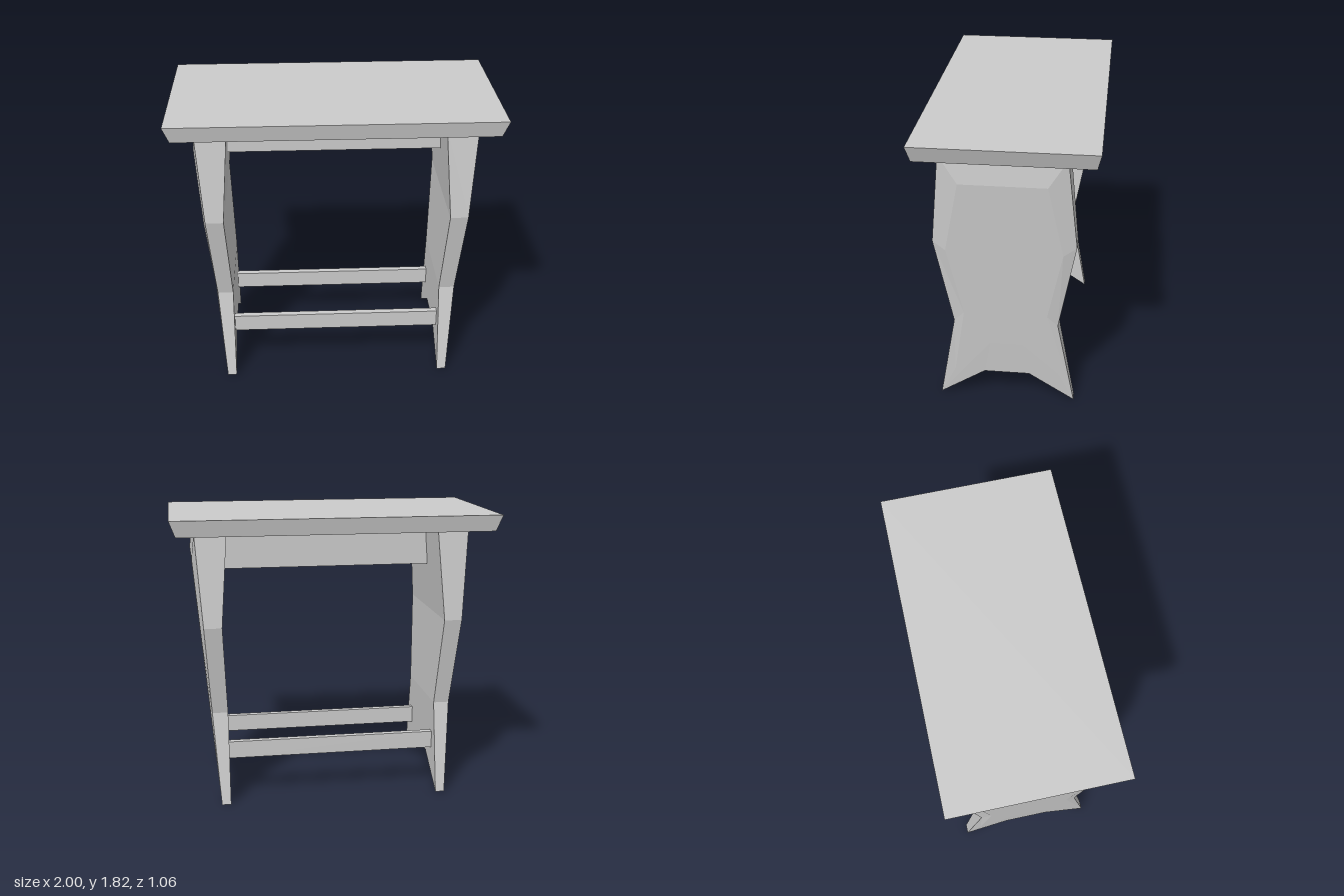
import * as THREE from 'three';

const material = new THREE.MeshStandardMaterial({ color: 0xcccccc, flatShading: true });

function addBox(group, name, size, position) {
  const mesh = new THREE.Mesh(new THREE.BoxGeometry(...size), material);
  mesh.name = name;
  mesh.position.set(...position);
  group.add(mesh);
  return mesh;
}

// Carved end panel facing +x, symmetric in z.
// Stations: top, shoulder, waist, foot, notch.
function panelGeometry() {
  const outline = [[0.365, 1.72], [0.4225, 1.15], [0.3175, 0.58], [0.4225, 0], [0.14, 0.19]];
  const inset = [[0.255, 1.55], [0.345, 1.1], [0.253, 0.65], [0.325, 0.2], [0.1, 0.42]];
  const innerX = [0.6525, 0.695, 0.6675, 0.6675, 0.6675];
  const layer = (profile, xAt) => ({
    a: profile.map(([z, y], i) => [xAt(y, i), y, z]),
    b: profile.map(([z, y], i) => [xAt(y, i), y, -z]),
  });
  const inner = layer(outline, (y, i) => innerX[i]);
  const rim = layer(outline, (y) => 0.725 + 0.0712 * y);
  const field = layer(inset, (y) => 0.725 + 0.089 * y);

  const positions = [];
  const tri = (p, q, r) => positions.push(...p, ...q, ...r);
  const quad = (p, q, r, s) => { tri(p, q, r); tri(p, r, s); };

  // Broad faces: three bands plus two feet
  const face = ({ a, b }, outward) => {
    const t = outward ? tri : (p, q, r) => tri(r, q, p);
    for (const [i, j] of [[0, 1], [1, 2], [2, 4]]) {
      t(a[i], a[j], b[j]);
      t(a[i], b[j], b[i]);
    }
    t(a[2], a[3], a[4]);
    t(b[2], b[4], b[3]);
  };
  face(field, true);
  face(inner, false);

  // Edge wall and the bevel up to the raised field
  const loop = ({ a, b }) => [...a, ...b.slice().reverse()];
  const bridge = (low, high) => {
    const p = loop(low), q = loop(high);
    p.forEach((_, i) => {
      const j = (i + 1) % p.length;
      quad(p[i], p[j], q[j], q[i]);
    });
  };
  bridge(inner, rim);
  bridge(rim, field);

  const geometry = new THREE.BufferGeometry();
  geometry.setAttribute('position', new THREE.Float32BufferAttribute(positions, 3));
  geometry.computeVertexNormals();
  return geometry;
}

export function createModel() {
  const model = new THREE.Group();
  model.name = 'sideTable';

  // Table top, tapering inward underneath
  const top = addBox(model, 'tableTop', [2, 0.1, 1.06], [0, 1.77, 0]);
  const pos = top.geometry.attributes.position;
  for (let i = 0; i < pos.count; i++) {
    if (pos.getY(i) < 0) {
      pos.setX(i, Math.sign(pos.getX(i)) * 0.963);
      pos.setZ(i, Math.sign(pos.getZ(i)) * 0.508);
    }
  }
  top.geometry.computeVertexNormals();

  // Base, set slightly off the centre of the top
  const base = new THREE.Group();
  base.name = 'base';
  base.position.set(0.0075, 0, 0.0175);
  model.add(base);

  const geometry = panelGeometry();
  [['leftPanel', 0], ['rightPanel', Math.PI]].forEach(([name, turn]) => {
    const panel = new THREE.Mesh(geometry, material);
    panel.name = name;
    panel.rotation.y = turn;
    base.add(panel);
  });

  // Rails between the panels
  addBox(base, 'apron', [1.37, 0.27, 0.09], [0, 1.585, 0]);
  addBox(base, 'frontStretcher', [1.36, 0.11, 0.04], [0, 0.315, 0.265]);
  addBox(base, 'backStretcher', [1.36, 0.11, 0.04], [0, 0.315, -0.265]);

  return model;
}
